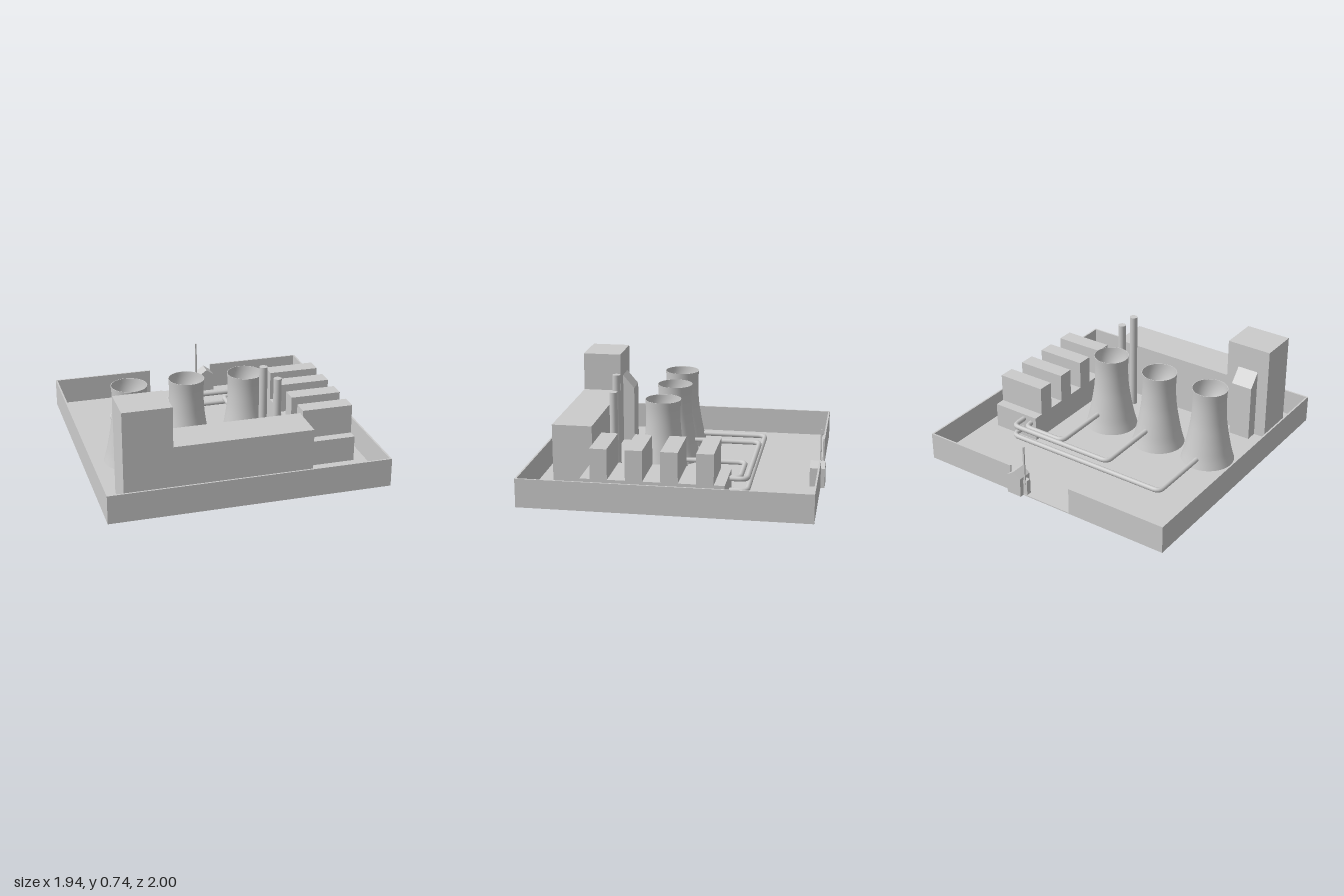
import * as THREE from 'three';

const material = new THREE.MeshStandardMaterial({ color: 0xcccccc, side: THREE.DoubleSide });

export function createModel() {
  const model = new THREE.Group();

  const add = (name, geometry, x = 0, y = 0, z = 0) => {
    const mesh = new THREE.Mesh(geometry, material);
    mesh.name = name;
    mesh.position.set(x, y, z);
    model.add(mesh);
    return mesh;
  };
  // Box given by its limits on each axis
  const box = (name, x0, x1, y0, y1, z0, z1) =>
    add(name, new THREE.BoxGeometry(x1 - x0, y1 - y0, z1 - z0),
      (x0 + x1) / 2, (y0 + y1) / 2, (z0 + z1) / 2);
  const prism = (points, depth) => new THREE.ExtrudeGeometry(
    new THREE.Shape(points.map(([x, y]) => new THREE.Vector2(x, y))),
    { depth, bevelEnabled: false });

  // Ground slab and perimeter wall with a gate opening at the back
  const W = 0.972, B = -0.972, T = 0.012, H = 0.2;
  box('groundSlab', -W, W, 0, 0.008, B, 1);
  box('frontWall', -W, W, 0, H, 1 - T, 1);
  box('rightWall', -W, -W + T, 0, H, B, 1);
  box('leftWall', W - T, W, 0, H, B, 1);
  box('backWallRight', -W, -0.23, 0, H, B, B + T);
  box('backWallLeft', 0.26, W, 0, H, B, B + T);

  // Reactor hall, tall block and lean-to annex
  box('mainHall', -0.505, 0.457, 0, 0.425, 0.595, 0.877);
  box('tallBlock', -0.838, -0.505, 0, 0.705, 0.595, 0.877);
  const annex = add('slopedAnnex',
    prism([[-0.6, 0], [-0.6, 0.53], [-0.51, 0.425], [-0.51, 0]], 0.158), -0.753, 0, 0);
  annex.rotation.y = Math.PI / 2;

  // Chimneys
  for (const [x, h] of [[0.232, 0.74], [0.335, 0.643]]) {
    add('chimney', new THREE.CylinderGeometry(0.028, 0.028, h, 24), x, h / 2, 0.465);
  }

  // Cooling towers: waisted shell with a hollow bowl inside
  const shell = new THREE.SplineCurve([
    [0.193, 0], [0.173, 0.07], [0.158, 0.14], [0.143, 0.22],
    [0.128, 0.32], [0.121, 0.42], [0.121, 0.5], [0.126, 0.572],
  ].map(([r, y]) => new THREE.Vector2(r, y))).getPoints(24);
  const bowl = [];
  for (let i = 0; i <= 12; i++) {
    const a = (i / 12) * Math.PI / 2;
    bowl.push(new THREE.Vector2(0.122 * Math.cos(a), 0.572 - 0.2 * Math.sin(a)));
  }
  bowl[12].x = 0;
  const rim = [new THREE.Vector2(0.126, 0.572), new THREE.Vector2(0.122, 0.572)];
  for (const [x, z] of [[-0.63, 0.14], [-0.22, 0.127], [0.203, 0.14]]) {
    add('coolingTowerShell', new THREE.LatheGeometry(shell, 48), x, 0, z);
    add('coolingTowerRim', new THREE.LatheGeometry(rim, 48), x, 0, z);
    add('coolingTowerBowl', new THREE.LatheGeometry(bowl, 48), x, 0, z);
  }

  // Turbine base with four raised units
  box('turbineBase', 0.507, 0.87, 0, 0.19, -0.382, 0.585);
  for (let i = 0; i < 4; i++) {
    const z = -0.31 + i * 0.2365;
    box('turbineUnit', 0.507, 0.87, 0.19, 0.4, z, z + 0.116);
  }

  // Pipes from the towers to the turbine base, with rounded corners
  const R = 0.05;
  const v = (x, y, z) => new THREE.Vector3(x, y, z);
  for (const [x0, x1, y, z, zEnd] of [
    [-0.64, 0.622, 0.075, -0.5, 0.02],
    [-0.21, 0.615, 0.155, -0.5, 0.02],
    [0.22, 0.55, 0.14, -0.445, 0.02],
  ]) {
    const path = new THREE.CurvePath();
    path.add(new THREE.LineCurve3(v(x0, y, zEnd), v(x0, y, z + R)));
    path.add(new THREE.QuadraticBezierCurve3(v(x0, y, z + R), v(x0, y, z), v(x0 + R, y, z)));
    path.add(new THREE.LineCurve3(v(x0 + R, y, z), v(x1 - R, y, z)));
    path.add(new THREE.QuadraticBezierCurve3(v(x1 - R, y, z), v(x1, y, z), v(x1, y, z + R)));
    path.add(new THREE.LineCurve3(v(x1, y, z + R), v(x1, y, -0.37)));
    add('steamPipe', new THREE.TubeGeometry(path, 120, 0.018, 10));
  }

  // Gatehouse with gable roof, and raised barrier beside it
  add('gatehouse', prism(
    [[0.157, 0], [0.27, 0], [0.27, 0.14], [0.2135, 0.18], [0.157, 0.14]], 0.104), 0, 0, -1);
  box('barrierPost', 0.125, 0.157, 0, 0.12, -0.967, -0.93);
  box('barrierArm', 0.139, 0.151, 0.03, 0.385, -0.968, -0.958);

  return model;
}
